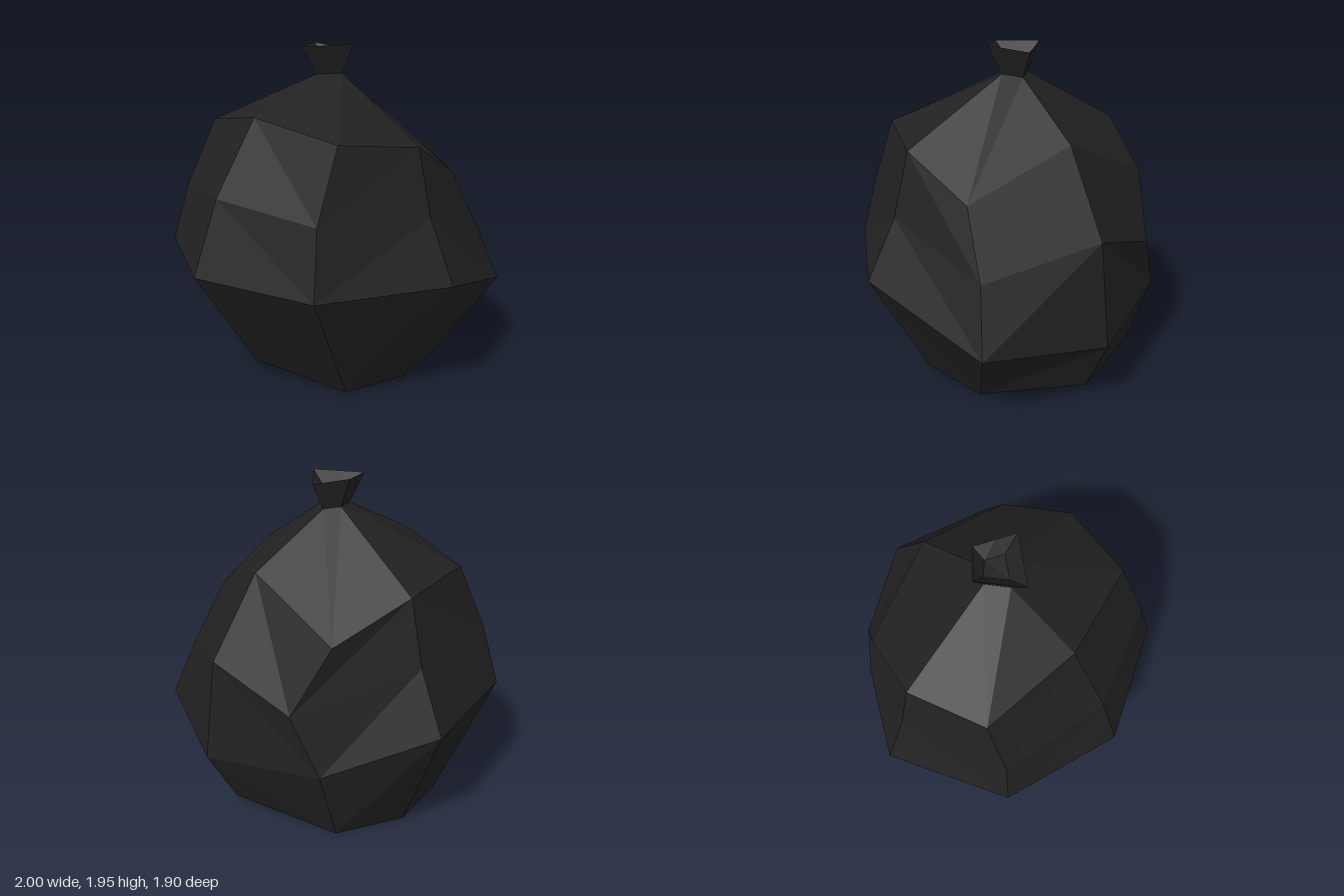
import * as THREE from 'three';

// Rings run front, front-left, left, back-left, back, back-right, right, front-right
const bagRings = [
  [[0, 0.08, 0.555], [0.545, 0.01, 0.31], [0.65, 0.03, -0.05], [0.525, 0.01, -0.455],
    [0, 0.06, -0.775], [-0.6, 0.01, -0.455], [-0.72, 0.01, -0.05], [-0.6, 0.01, 0.31]], // base
  [[0, 0.705, 0.95], [0.72, 0.705, 0.68], [1, 0.705, -0.05], [0.72, 0.49, -0.815],
    [0, 0.405, -0.95], [-0.65, 0.48, -0.6], [-1, 0.705, -0.05], [-0.72, 0.705, 0.68]], // belly
  [[0, 1.13, 0.79], [0.645, 1.075, 0.6], [0.82, 1.05, -0.05], [0.64, 0.85, -0.675],
    [0, 1, -0.865], [-0.5, 0.82, -0.685], [-0.82, 1.05, -0.05], [-0.645, 1.075, 0.6]], // waist
  [[0, 1.555, 0.525], [0.595, 1.47, 0.42], [0.72, 1.42, -0.05], [0.595, 1.21, -0.475],
    [0, 1.465, -0.57], [-0.595, 1.2, -0.475], [-0.72, 1.42, -0.05], [-0.595, 1.47, 0.42]], // shoulder
];

// Four-sided ring given eight points, with the extra ones at the middle of each side
function diamond(right, left, back, front, ySide, yBack, yFront) {
  const c = [[0, yFront, front], [left, ySide, -0.04], [0, yBack, back], [right, ySide, -0.04]];
  return c.flatMap((p, i) => [p, p.map((v, k) => (v + c[(i + 1) % 4][k]) / 2)]);
}
const point = (x, y, z) => Array.from({ length: 8 }, () => [x, y, z]);

// Faceted skin through a stack of rings
function skin(rings) {
  const out = [];
  const tri = (a, b, c) => {
    const same = (p, q) => p.every((v, k) => v === q[k]);
    if (!same(a, b) && !same(b, c) && !same(a, c)) out.push(...a, ...b, ...c);
  };
  for (let r = 0; r < rings.length - 1; r++) {
    for (let i = 0; i < 8; i++) {
      const j = (i + 1) % 8;
      const [a, b, c, d] = [rings[r][i], rings[r][j], rings[r + 1][j], rings[r + 1][i]];
      // mirror the diagonal from one column to the next
      if (i % 2) { tri(a, b, c); tri(a, c, d); } else { tri(a, b, d); tri(b, c, d); }
    }
  }
  const g = new THREE.BufferGeometry();
  g.setAttribute('position', new THREE.Float32BufferAttribute(out, 3));
  g.computeVertexNormals();
  return g;
}

export function createModel() {
  const group = new THREE.Group();
  group.name = 'garbageBag';
  const plastic = new THREE.MeshStandardMaterial({ color: 0x212121, flatShading: true });
  plastic.name = 'black plastic';

  const neck = diamond(-0.08, 0.1, -0.11, 0.08, 1.775, 1.755, 1.77);
  const rim = diamond(-0.16, 0.195, -0.18, 0.187, 1.945, 1.905, 1.93);
  const pocket = diamond(-0.08, 0.09, -0.1, 0.07, 1.86, 1.85, 1.85);

  // Filled body, closed underneath
  const bag = new THREE.Mesh(skin([point(0, 0, -0.05), ...bagRings, neck]), plastic);
  bag.name = 'bagBody';

  // Flared knot with a hollow top
  const knot = new THREE.Mesh(skin([neck, rim, pocket, point(0, 1.855, -0.02)]), plastic);
  knot.name = 'tiedNeck';

  group.add(bag, knot);
  return group;
}
